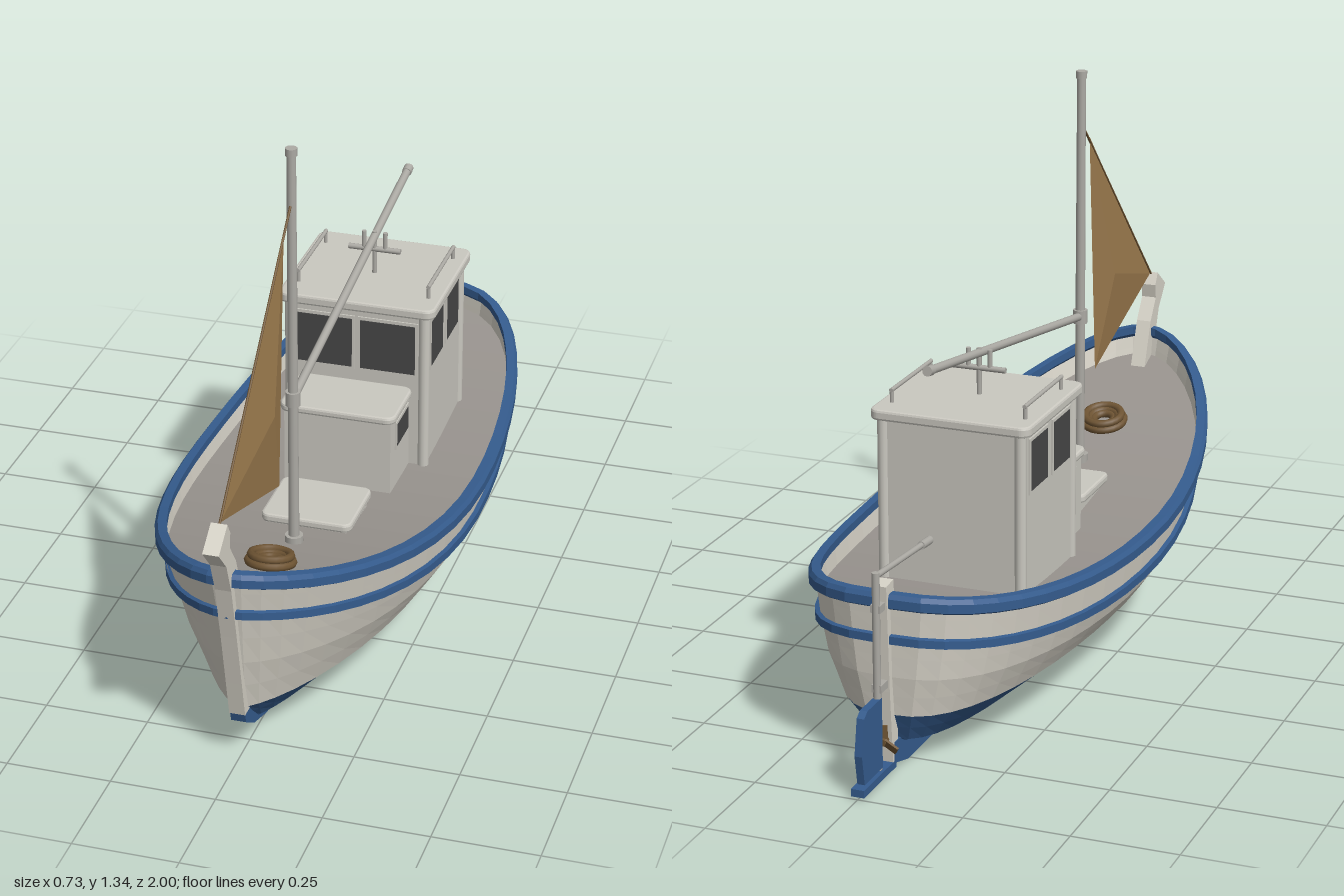
import * as THREE from 'three';

const mat = (name, color, side = THREE.FrontSide) => {
  const m = new THREE.MeshStandardMaterial({ color, side });
  m.name = name;
  return m;
};

// Height of the hull's top edge along its length
const sheer = (z) => 0.35 + (z > -0.1 ? 0.183 : 0.142) * (z + 0.1) ** 2;

// Hull levels from rail to bottom: [sheer factor, height, bow z, stern z, half width, bow sharpness, stern sharpness]
const LEVELS = [
  [1, 0, 0.91, -0.845, 0.352, 1.12, 0.68],
  [1, -0.1, 0.89, -0.842, 0.337, 1.2, 0.7],
  [0.5, 0.017, 0.86, -0.84, 0.314, 1.3, 0.73],
  [0, 0.135, 0.825, -0.83, 0.272, 1.45, 0.78],
  [0, 0.065, 0.76, -0.8, 0.175, 1.5, 0.8],
  [0, 0.04, 0.68, -0.76, 0.01, 1.5, 0.8],
];
const SEGS = 48;
const DECK = 0.65;

// Point on the hull: level may be fractional, u runs round the plan with the bow at a quarter turn
function hullPoint(level, u) {
  const i = Math.min(Math.floor(level), LEVELS.length - 2);
  const [a, b, bow, stern, w, pBow, pStern] = LEVELS[i].map((n, k) => n + (LEVELS[i + 1][k] - n) * (level - i));
  const c = Math.cos(u), s = Math.sin(u);
  const z = (bow + stern) / 2 + ((bow - stern) / 2) * s;
  const x = w * Math.sign(c) * Math.abs(c) ** (s > 0 ? pBow : pStern);
  return new THREE.Vector3(x, a * sheer(z) + b, z);
}

// Outward direction in plan
function outward(level, u) {
  const t = hullPoint(level, u + 0.06).sub(hullPoint(level, u - 0.06));
  return new THREE.Vector3(t.z, 0, -t.x).normalize();
}

// Faceted surface from rows of points
function grid(nu, nv, point) {
  const pos = [], idx = [];
  for (let j = 0; j <= nv; j++) for (let i = 0; i <= nu; i++) pos.push(...point(i / nu, j / nv).toArray());
  for (let j = 0; j < nv; j++) for (let i = 0; i < nu; i++) {
    const a = j * (nu + 1) + i, b = a + nu + 1;
    idx.push(a, a + 1, b, a + 1, b + 1, b);
  }
  const g = new THREE.BufferGeometry();
  g.setAttribute('position', new THREE.Float32BufferAttribute(pos, 3));
  g.setIndex(idx);
  const flat = g.toNonIndexed();
  flat.computeVertexNormals();
  return flat;
}

// Moulding swept round the hull from a closed [outward, up] section
function band(level, section) {
  const n = section.length;
  return grid(SEGS, n, (s, t) => {
    const [o, y] = section[Math.round(t * n) % n], u = s * Math.PI * 2;
    const p = hullPoint(level, u).addScaledVector(outward(level, u), o);
    p.y += y;
    return p;
  });
}

// Plate cut from a [z, y] outline, centred across the boat
function plate(points, width) {
  const shape = new THREE.Shape(points.map(([z, y]) => new THREE.Vector2(z, y)));
  const g = new THREE.ExtrudeGeometry(shape, { depth: width, bevelEnabled: false });
  return g.rotateY(-Math.PI / 2).translate(width / 2, 0, 0);
}

// Flat slab with corners rounded in plan and softened top and bottom edges
function slabGeometry(hw, y0, y1, z0, z1, r) {
  const b = 0.006, s = new THREE.Shape(), x = hw - b, lo = -z1 + b, hi = -z0 - b;
  s.absarc(x - r, hi - r, r, 0, Math.PI / 2);
  s.absarc(r - x, hi - r, r, Math.PI / 2, Math.PI);
  s.absarc(r - x, lo + r, r, Math.PI, Math.PI * 1.5);
  s.absarc(x - r, lo + r, r, Math.PI * 1.5, Math.PI * 2);
  const g = new THREE.ExtrudeGeometry(s, { depth: y1 - y0 - 2 * b, bevelSize: b, bevelThickness: b, bevelSegments: 2, curveSegments: 5 });
  return g.rotateX(-Math.PI / 2).translate(0, y0 + b, 0);
}

export function createModel() {
  const white = mat('hull white', 0xd6d2c7, THREE.DoubleSide);
  const blue = mat('hull blue', 0x355c8e, THREE.DoubleSide);
  const deckGrey = mat('deck grey', 0x98938e, THREE.DoubleSide);
  const cabinGrey = mat('cabin grey', 0xcac8c0);
  const metal = mat('metal grey', 0xacaaa4);
  const glass = mat('window dark', 0x474747);
  const canvas = mat('sail tan', 0x9c7b4e, THREE.DoubleSide);
  const brown = mat('rope brown', 0x6e5433);

  const model = new THREE.Group();
  model.name = 'fishingBoat';
  const add = (name, geo, material, x = 0, y = 0, z = 0) => {
    const m = new THREE.Mesh(geo, material);
    m.name = name;
    m.position.set(x, y, z);
    model.add(m);
    return m;
  };
  const box = (name, material, x0, x1, y0, y1, z0, z1) =>
    add(name, new THREE.BoxGeometry(x1 - x0, y1 - y0, z1 - z0), material, (x0 + x1) / 2, (y0 + y1) / 2, (z0 + z1) / 2);
  const rod = (name, material, from, to, r, r2 = r) => {
    const a = new THREE.Vector3(...from), b = new THREE.Vector3(...to), d = b.clone().sub(a);
    const m = add(name, new THREE.CylinderGeometry(r2, r, d.length(), 12), material);
    m.position.copy(a.add(b).multiplyScalar(0.5));
    m.quaternion.setFromUnitVectors(new THREE.Vector3(0, 1, 0), d.normalize());
  };

  // Hull, deck and mouldings
  const TAU = Math.PI * 2;
  add('topsides', grid(SEGS, 6, (s, t) => hullPoint(t * 3, s * TAU)), white);
  add('bottom', grid(SEGS, 4, (s, t) => hullPoint(3 + t * 2, s * TAU)), blue);
  add('deck', grid(2, SEGS / 2, (s, t) => {
    const p = hullPoint(DECK, (t - 0.5) * Math.PI);
    p.x *= (s * 2 - 1) * 0.995;
    return p;
  }), deckGrey);
  add('topRail', band(0, [[0.003, -0.032], [-0.015, -0.015], [-0.015, 0.005], [0.006, 0.005], [0.013, -0.005], [0.013, -0.026]]), blue);
  add('rubbingStrake', band(1, [[0.012, -0.013], [-0.004, -0.015], [-0.004, 0.008], [0.012, 0.006]]), blue);

  // Bow boards, one per side
  for (const side of [1, -1]) {
    add('bowBoard', grid(6, 2, (s, t) => {
      const u = 0.55 + s * 0.335, p = hullPoint(0.4 + t * 0.45, u).addScaledVector(outward(0.5, u), 0.007);
      p.x *= side;
      return p;
    }), white);
  }

  // Stem, keel and sternpost
  add('stem', plate([[1, 0.635], [0.95, 0.58], [0.92, 0.5], [0.888, 0.36], [0.858, 0.22], [0.838, 0.125],
    [0.79, 0.125], [0.81, 0.25], [0.83, 0.42], [0.885, 0.56], [0.925, 0.615], [0.92, 0.65], [0.938, 0.68]], 0.038), white);
  add('keel', plate([[0.838, 0.135], [0.828, 0.1], [0.77, 0.062], [0.68, 0.033], [0.55, 0.01], [0.42, 0],
    [-0.76, 0], [-0.83, 0.02], [-0.83, 0.07], [-0.7, 0.07], [0.6, 0.07], [0.75, 0.135]], 0.036), blue);
  add('sternpost', plate([[-0.825, 0.46], [-0.865, 0.455], [-0.852, 0.2], [-0.838, 0.02], [-0.81, 0.02], [-0.81, 0.3]], 0.032), white);

  // Rudder, tiller and propeller
  box('rudderShoe', blue, -0.016, 0.016, 0.006, 0.024, -1, -0.82);
  add('rudder', plate([[-0.88, 0.028], [-0.98, 0.028], [-0.993, 0.1], [-0.978, 0.185], [-0.96, 0.197], [-0.88, 0.197]], 0.018), blue);
  rod('rudderStock', metal, [0, 0.02, -0.885], [0, 0.495, -0.885], 0.009);
  rod('tiller', metal, [0, 0.487, -0.89], [0, 0.466, -0.61], 0.007);
  rod('tillerGrip', metal, [0, 0.467, -0.63], [0, 0.463, -0.58], 0.01);
  for (const y of [0.41, 0.22]) box('rudderBracket', metal, -0.012, 0.012, y - 0.009, y + 0.009, -0.89, -0.845);
  rod('propellerShaft', brown, [0, 0.08, -0.8], [0, 0.08, -0.865], 0.009);
  for (let i = 0; i < 3; i++) {
    const blade = add('propellerBlade', new THREE.BoxGeometry(0.02, 0.036, 0.006).translate(0, 0.02, 0), brown, 0, 0.08, -0.855);
    blade.rotation.set(0, 0.4, (i * TAU) / 3, 'ZYX');
  }

  // Wheelhouse with corner posts and roof
  box('wheelhouse', cabinGrey, -0.176, 0.176, 0.24, 0.7, -0.452, -0.118);
  add('wheelhouseRoof', slabGeometry(0.198, 0.692, 0.718, -0.472, -0.1, 0.02), cabinGrey);
  for (const side of [1, -1]) {
    for (const z of [-0.446, -0.124]) {
      rod('cornerPost', cabinGrey, [side * 0.17, 0.24, z], [side * 0.17, 0.695, z], 0.014);
    }
    // Side windows
    const f = side * 0.176;
    for (const z of [-0.207, -0.353]) {
      box('sideWindowFrame', cabinGrey, f - 0.004, f + 0.004, 0.537, 0.673, z - 0.06, z + 0.06);
      box('sideWindow', glass, f - 0.0049, f + 0.0049, 0.545, 0.665, z - 0.052, z + 0.052);
    }
    // Front windows
    const c = side * 0.08;
    box('frontWindowFrame', cabinGrey, c - 0.076, c + 0.076, 0.527, 0.673, -0.122, -0.114);
    box('frontWindow', glass, c - 0.069, c + 0.069, 0.535, 0.665, -0.121, -0.112);
    // Roof handrails
    const r = side * 0.165;
    rod('roofRail', metal, [r, 0.748, -0.41], [r, 0.748, -0.17], 0.005);
    for (const z of [-0.405, -0.175]) rod('roofRailLeg', metal, [r, 0.71, z], [r, 0.75, z], 0.005);
    // Signal lamps on the crossbar
    rod('signalLamp', metal, [side * 0.027, 0.78, -0.275], [side * 0.027, 0.828, -0.275], 0.006);
  }
  rod('roofPost', metal, [0, 0.71, -0.275], [0, 0.83, -0.275], 0.006);
  rod('crossbar', metal, [-0.066, 0.782, -0.275], [0.066, 0.782, -0.275], 0.007);

  // Low companionway ahead of the wheelhouse, and deck hatch
  box('companionway', cabinGrey, -0.134, 0.134, 0.24, 0.488, -0.12, 0.048);
  add('companionwayRoof', slabGeometry(0.146, 0.48, 0.5, -0.118, 0.06, 0.02), cabinGrey);
  for (const x of [-0.134, 0.134]) {
    box('companionwayFrame', cabinGrey, x - 0.004, x + 0.004, 0.389, 0.463, -0.105, 0.008);
    box('companionwayWindow', glass, x - 0.0049, x + 0.0049, 0.397, 0.455, -0.097, 0);
  }
  box('hatchCoaming', cabinGrey, -0.1, 0.1, 0.25, 0.33, 0.135, 0.305);
  add('hatchLid', slabGeometry(0.112, 0.32, 0.342, 0.122, 0.316, 0.015), cabinGrey);

  // Coiled rope on the foredeck
  const coil = new THREE.Group();
  coil.name = 'ropeCoil';
  coil.position.set(0, sheer(0.58) - 0.053, 0.58);
  coil.rotation.x = Math.PI / 2 - 0.24;
  [[0.052, 0], [0.037, -0.006], [0.046, -0.015], [0.026, -0.002]].forEach(([r, z]) => {
    const turn = new THREE.Mesh(new THREE.TorusGeometry(r, 0.01, 8, 24), brown);
    turn.name = 'ropeTurn';
    turn.position.z = z;
    coil.add(turn);
  });
  model.add(coil);

  // Mast, boom and forestay
  rod('mast', metal, [0, 0.3, 0.4], [0, 1.335, 0.4], 0.013, 0.011);
  rod('mastCap', metal, [0, 1.322, 0.4], [0, 1.34, 0.4], 0.014);
  rod('mastFoot', metal, [0, 0.3, 0.4], [0, 0.35, 0.4], 0.022);
  rod('boomCollar', metal, [0, 0.695, 0.4], [0, 0.73, 0.4], 0.018);
  rod('boom', metal, [0, 0.712, 0.4], [0, 0.866, -0.58], 0.01);
  rod('boomEnd', metal, [0, 0.863, -0.562], [0, 0.867, -0.585], 0.012);
  rod('forestay', brown, [0, 0.675, 0.938], [0, 1.21, 0.4], 0.003);

  // Sail with a slight belly on each side
  const corners = [[0, 0.678, 0.93], [0, 1.16, 0.46], [0, 0.54, 0.51]];
  const tris = [];
  for (const x of [0.02, -0.02]) corners.forEach((c, i) => {
    const next = corners[(i + 1) % 3], mid = [x, 0.77, 0.6];
    tris.push(...(x > 0 ? [c, mid, next] : [c, next, mid]).flat());
  });
  const sail = new THREE.BufferGeometry();
  sail.setAttribute('position', new THREE.Float32BufferAttribute(tris, 3));
  sail.computeVertexNormals();
  add('sail', sail, canvas);
  return model;
}
